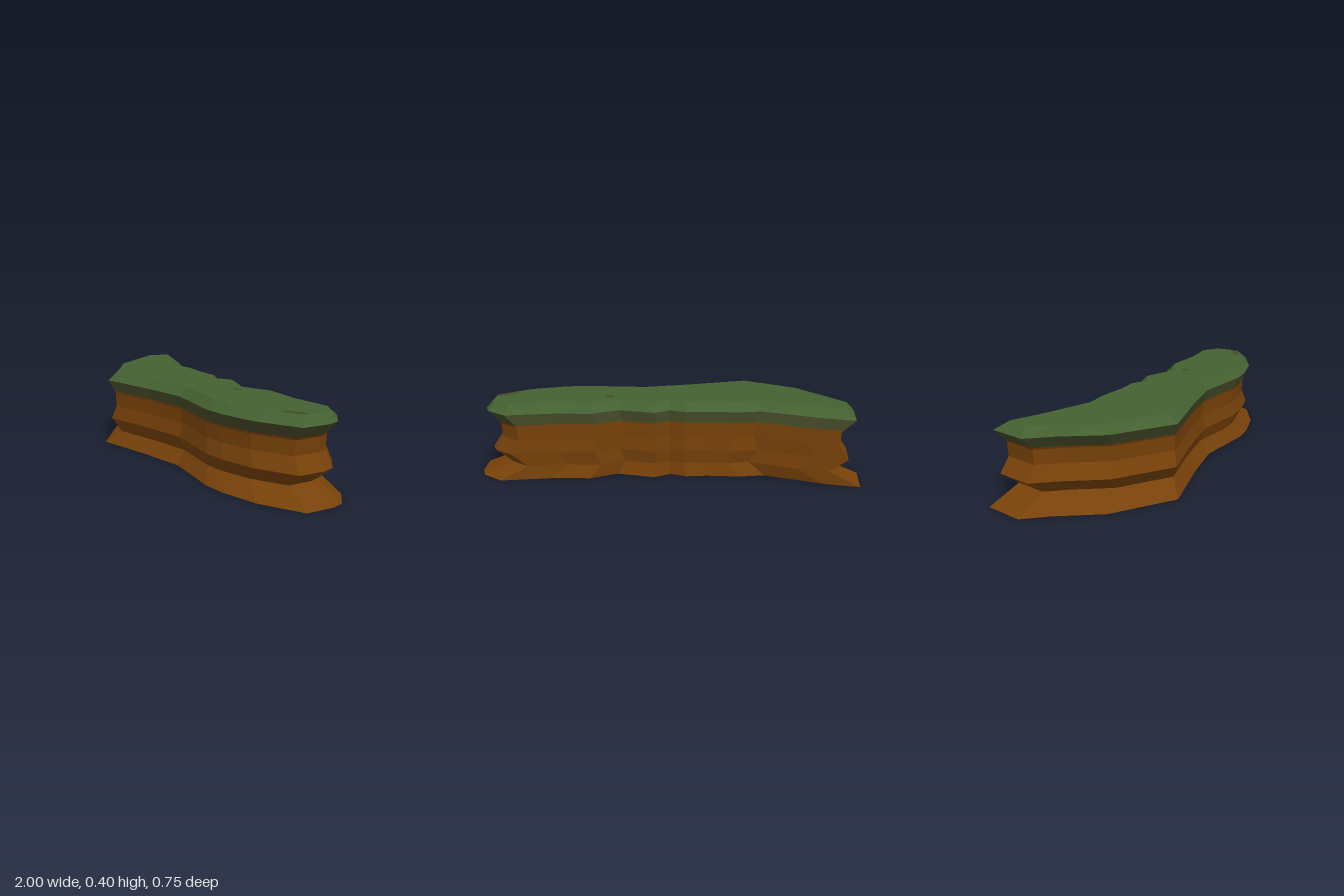
import * as THREE from 'three';

// Ground outline as x, z pairs: along the back, round the left end, the front, the right end
const BASE = [
  [-0.945, -0.375], [-0.77, -0.305], [-0.495, -0.155], [-0.36, -0.155], [-0.19, -0.12], [-0.08, -0.115],
  [0, -0.07], [0.09, -0.105], [0.28, -0.03], [0.43, -0.075], [0.63, -0.047], [0.895, -0.045],
  [0.985, 0.045], [1, 0.11], [0.98, 0.253], [0.76, 0.344], [0.565, 0.374], [0.44, 0.374],
  [0.105, 0.302], [-0.165, 0.324], [-0.52, 0.373], [-0.795, 0.147], [-0.915, -0.068], [-1, -0.185],
];

// Outline of the flat top, inside the bevelled rim
const TOP = [
  [-0.865, -0.288], [-0.72, -0.21], [-0.475, -0.1], [-0.35, -0.1], [-0.195, -0.072], [-0.08, -0.067],
  [0, -0.02], [0.09, -0.06], [0.265, 0.02], [0.425, -0.03], [0.62, 0], [0.835, 0],
  [0.91, 0.062], [0.915, 0.11], [0.9, 0.2], [0.725, 0.285], [0.54, 0.314], [0.43, 0.314],
  [0.1, 0.247], [-0.16, 0.267], [-0.48, 0.307], [-0.725, 0.122], [-0.845, -0.07], [-0.91, -0.18],
];

// Worn spots in the grass
const SPOTS = [
  [[0.28, 0.07], [0.31, 0.06], [0.33, 0.075], [0.32, 0.1], [0.285, 0.1]],
  [[0.79, 0.21], [0.85, 0.175], [0.895, 0.165], [0.895, 0.198], [0.79, 0.245]],
];

// A copy of the ground outline, scaled and lifted
const ring = (y, s) => BASE.map(([x, z]) => [x * s, y, z * s]);

// Bands of faces between successive closed rings
function loft(rings) {
  const pos = [];
  for (let r = 0; r + 1 < rings.length; r++) {
    const lo = rings[r], hi = rings[r + 1];
    lo.forEach((a, i) => {
      const j = (i + 1) % lo.length;
      pos.push(...lo[j], ...a, ...hi[i], ...lo[j], ...hi[i], ...hi[j]);
    });
  }
  const geo = new THREE.BufferGeometry();
  geo.setAttribute('position', new THREE.Float32BufferAttribute(pos, 3));
  geo.computeVertexNormals();
  return geo;
}

// Flat upward-facing polygon at height y
function flat(points, y) {
  const shape = new THREE.Shape(points.map(([x, z]) => new THREE.Vector2(x, -z)));
  return new THREE.ShapeGeometry(shape).rotateX(-Math.PI / 2).translate(0, y, 0);
}

export function createModel() {
  const group = new THREE.Group();
  group.name = 'cliff';
  const material = (name, color) => {
    const m = new THREE.MeshStandardMaterial({ color, flatShading: true, side: THREE.DoubleSide });
    m.name = name;
    return m;
  };
  const earth = material('earth brown', 0x774109);
  const grass = material('grass green', 0x446131);
  const mixed = material('earthy olive', 0x454a28);
  const add = (name, geo, mat) => {
    const mesh = new THREE.Mesh(geo, mat);
    mesh.name = name;
    group.add(mesh);
  };

  // Earth walls, flaring in and out, open underneath
  const seam = ring(0.298, 0.896);
  add('earthWalls', loft([
    ring(0, 1), ring(0.071, 0.838), ring(0.143, 0.932), ring(0.215, 0.883), ring(0.287, 0.888), seam,
  ]), earth);

  // Underside of the overhanging rim, where grass meets earth
  const rim = ring(0.357, 0.954);
  add('rimUnderside', loft([seam, rim]), mixed);

  // Grass bevel and flat top
  add('grassBevel', loft([rim, TOP.map(([x, z]) => [x, 0.4, z])]), grass);
  add('grassTop', flat(TOP, 0.4), grass);

  // Worn spots lying just on the grass
  SPOTS.forEach((points) => add('wornSpot', flat(points, 0.401), mixed));

  return group;
}
